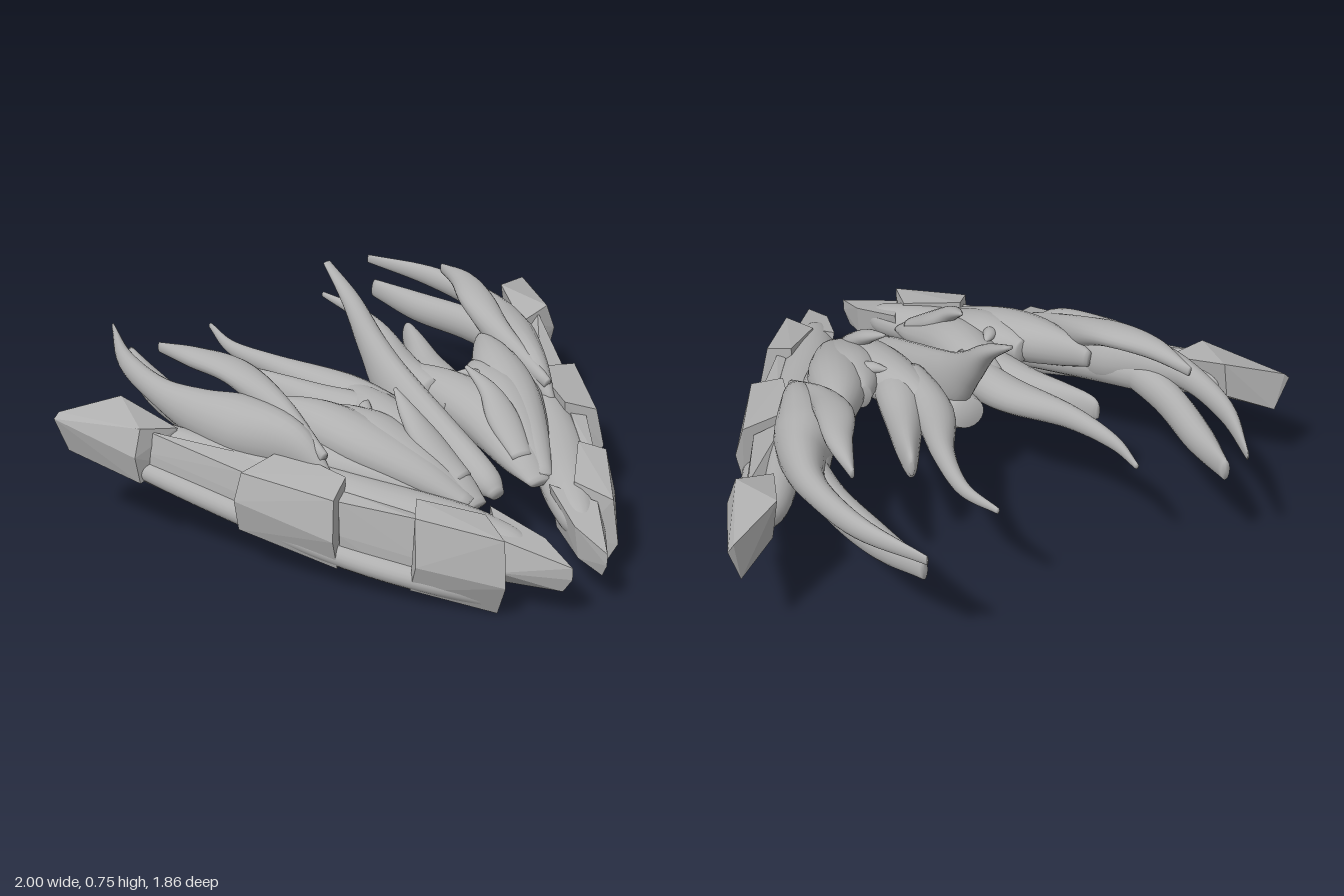
import * as THREE from 'three';
import { ConvexGeometry } from 'three/addons/geometries/ConvexGeometry.js';

const V = (x, y, z) => new THREE.Vector3(x, y, z);

// Smooth oval-section loft through stations [x, y, z, halfWidth, halfHeight], s mirrors in x
function loft(stations, s = 1, radial = 20, steps = 36) {
  const path = new THREE.CatmullRomCurve3(stations.map((p) => V(s * p[0], p[1], p[2])), false, 'catmullrom', 0.5);
  const size = new THREE.CatmullRomCurve3(stations.map((p) => V(p[3], p[4], 0)), false, 'catmullrom', 0.5);
  const pos = [], idx = [];
  const ring = (t, k) => {
    const c = path.getPoint(t), T = path.getTangent(t), r = size.getPoint(t);
    const side = V(0, 1, 0).cross(T).normalize(), up = T.clone().cross(side);
    for (let j = 0; j < radial; j++) {
      const a = (j / radial) * Math.PI * 2;
      const p = c.clone()
        .addScaledVector(side, Math.cos(a) * Math.max(r.x, 0.003) * k)
        .addScaledVector(up, Math.sin(a) * Math.max(r.y, 0.003) * k);
      pos.push(p.x, p.y, p.z);
    }
  };
  ring(0, 0.001);
  for (let i = 0; i <= steps; i++) ring(i / steps, 1);
  ring(1, 0.001);
  for (let i = 0; i < steps + 2; i++) {
    for (let j = 0; j < radial; j++) {
      const a = i * radial + j, b = i * radial + ((j + 1) % radial);
      idx.push(a, b, a + radial, b, b + radial, a + radial);
    }
  }
  const g = new THREE.BufferGeometry();
  g.setAttribute('position', new THREE.Float32BufferAttribute(pos, 3));
  g.setIndex(idx);
  g.computeVertexNormals();
  return g;
}

// Faceted block spanning two five-cornered sections
const block = (a, b, s) => new ConvexGeometry([...a, ...b].map((p) => V(s * p[0], p[1], p[2])));

// Rail sections: keel bottom, outer middle, outer top, inner top, inner bottom
const RAIL = [
  [[0.21, 0.0, 0.75], [0.23, 0.12, 0.81], [0.22, 0.27, 0.79], [0.18, 0.29, 0.65], [0.17, 0.1, 0.68]],
  [[0.4, 0.06, 0.56], [0.41, 0.16, 0.6], [0.39, 0.31, 0.57], [0.33, 0.33, 0.5], [0.33, 0.14, 0.5]],
  [[0.53, 0.09, 0.36], [0.56, 0.2, 0.38], [0.54, 0.33, 0.36], [0.45, 0.36, 0.3], [0.46, 0.17, 0.3]],
  [[0.7, 0.16, 0.07], [0.72, 0.27, 0.08], [0.69, 0.36, 0.08], [0.52, 0.39, 0.07], [0.56, 0.22, 0.07]],
  [[0.86, 0.24, -0.25], [0.88, 0.34, -0.24], [0.85, 0.43, -0.25], [0.72, 0.4, -0.24], [0.75, 0.28, -0.24]],
  [[0.96, 0.28, -0.53], [1, 0.4, -0.54], [0.98, 0.42, -0.54], [0.8, 0.46, -0.45], [0.82, 0.33, -0.45]],
];
const PROW = [
  [[0.08, 0.1, 0.9], [0.07, 0.15, 0.93], [0.07, 0.19, 0.93], [0.06, 0.23, 0.79], [0.07, 0.12, 0.8]],
  [[0.2, 0.1, 0.72], [0.22, 0.15, 0.76], [0.2, 0.25, 0.74], [0.12, 0.28, 0.6], [0.14, 0.13, 0.62]],
];

// Recess of each rail corner between the armour blocks: [inward, down]
const RECESS = [[0.02, 0], [0.05, 0.0], [0.035, 0.02], [-0.02, 0.04], [0, 0]];
const recessed = (sec) => sec.map(([x, y, z], i) =>
  [x - 0.87 * RECESS[i][0], y - RECESS[i][1], z - 0.5 * RECESS[i][0]]);

// Smooth parts of one side
const SIDE = {
  railTube: [[0.12, 0.19, 0.76, 0.04, 0.045], [0.15, 0.205, 0.7, 0.065, 0.06], [0.23, 0.23, 0.56, 0.085, 0.07], [0.36, 0.26, 0.36, 0.09, 0.07],
    [0.49, 0.29, 0.13, 0.075, 0.07], [0.63, 0.32, -0.1, 0.065, 0.06], [0.76, 0.35, -0.33, 0.045, 0.05], [0.86, 0.375, -0.43, 0.025, 0.03]],
  keelTube: [[0.2, 0.05, 0.74, 0.03, 0.04], [0.36, 0.09, 0.56, 0.045, 0.04], [0.51, 0.13, 0.33, 0.045, 0.04],
    [0.67, 0.2, 0.05, 0.04, 0.04], [0.82, 0.27, -0.25, 0.035, 0.035], [0.92, 0.32, -0.47, 0.015, 0.025]],
  innerHull: [[0.13, 0.26, 0.55, 0.04, 0.015], [0.14, 0.3, 0.44, 0.07, 0.05], [0.16, 0.36, 0.25, 0.095, 0.08],
    [0.15, 0.385, 0.08, 0.09, 0.08], [0.13, 0.39, -0.08, 0.06, 0.06], [0.13, 0.39, -0.18, 0.02, 0.03]],
  midHull: [[0.15, 0.28, 0.52, 0.04, 0.02], [0.2, 0.34, 0.36, 0.08, 0.06], [0.25, 0.39, 0.2, 0.1, 0.075], [0.28, 0.41, 0.08, 0.07, 0.06], [0.3, 0.41, 0.0, 0.03, 0.04]],
  outerHull: [[0.15, 0.27, 0.54, 0.03, 0.02], [0.22, 0.33, 0.38, 0.07, 0.06], [0.3, 0.385, 0.2, 0.095, 0.08],
    [0.36, 0.415, 0.05, 0.085, 0.08], [0.42, 0.425, -0.08, 0.045, 0.06], [0.46, 0.42, -0.16, 0.015, 0.03]],
  lowerHull: [[0.16, 0.27, 0.52, 0.03, 0.02], [0.27, 0.315, 0.3, 0.085, 0.055], [0.41, 0.35, 0.08, 0.09, 0.065],
    [0.53, 0.37, -0.1, 0.08, 0.075], [0.61, 0.38, -0.28, 0.05, 0.06]],
  raisedHorn: [[0.12, 0.32, 0.47, 0.035, 0.02], [0.15, 0.395, 0.34, 0.055, 0.035], [0.16, 0.465, 0.25, 0.035, 0.025], [0.145, 0.52, 0.15, 0.006, 0.006]],
  smallClaw: [[0.25, 0.42, 0.14, 0.03, 0.03], [0.22, 0.45, 0.09, 0.022, 0.02], [0.18, 0.45, 0.05, 0.005, 0.005]],
  shortHorn: [[0.12, 0.37, 0.16, 0.07, 0.06], [0.17, 0.38, 0.0, 0.075, 0.07], [0.225, 0.38, -0.15, 0.06, 0.065],
    [0.285, 0.39, -0.29, 0.04, 0.06], [0.325, 0.4, -0.39, 0.022, 0.05], [0.337, 0.4, -0.42, 0.008, 0.025]],
  crescentHorn: [[0.1, 0.38, 0.05, 0.06, 0.07], [0.115, 0.39, -0.1, 0.065, 0.065], [0.145, 0.4, -0.22, 0.062, 0.055], [0.225, 0.42, -0.42, 0.035, 0.04],
    [0.265, 0.43, -0.62, 0.02, 0.025], [0.242, 0.45, -0.79, 0.007, 0.01]],
  outerPod: [[0.46, 0.33, 0.22, 0.015, 0.02], [0.49, 0.39, 0.08, 0.06, 0.085], [0.55, 0.4, -0.1, 0.1, 0.11],
    [0.625, 0.42, -0.25, 0.07, 0.085], [0.668, 0.445, -0.43, 0.042, 0.05], [0.645, 0.46, -0.68, 0.028, 0.038], [0.55, 0.475, -0.93, 0.005, 0.016]],
  lowerHorn: [[0.59, 0.38, -0.12, 0.06, 0.06], [0.605, 0.37, -0.4, 0.05, 0.06], [0.57, 0.365, -0.65, 0.045, 0.055], [0.525, 0.385, -0.86, 0.015, 0.035]],
  upperHook: [[0.46, 0.39, 0.2, 0.015, 0.02], [0.465, 0.47, -0.04, 0.042, 0.05], [0.5, 0.54, -0.22, 0.06, 0.038],
    [0.56, 0.555, -0.38, 0.042, 0.033], [0.595, 0.545, -0.54, 0.008, 0.018]],
};

export function createModel() {
  const model = new THREE.Group();
  model.name = 'hornedSkiff';
  const hull = new THREE.MeshStandardMaterial({ color: 0xb0b0b0 });
  hull.name = 'hullGrey';
  const add = (parent, name, geometry) => {
    const m = new THREE.Mesh(geometry, hull);
    m.name = name;
    parent.add(m);
    return m;
  };

  // Central spine rising to a tall swept horn
  add(model, 'spine', loft([[0, 0.235, 0.495, 0.025, 0.02], [0, 0.265, 0.42, 0.052, 0.055], [0, 0.32, 0.2, 0.06, 0.09],
    [0, 0.4, -0.02, 0.058, 0.1], [0, 0.52, -0.16, 0.045, 0.06], [0, 0.645, -0.28, 0.033, 0.03], [0, 0.742, -0.42, 0.014, 0.008]]));

  // Underbody with clamp bands
  add(model, 'underbody', loft([[0, 0.24, 0.36, 0.03, 0.04], [0, 0.27, 0.2, 0.075, 0.075], [0, 0.3, 0, 0.1, 0.08], [0, 0.35, -0.16, 0.06, 0.05]]));
  for (const [y, z] of [[0.27, 0.17], [0.3, 0.03]]) {
    const clamp = add(model, 'clampBand', new THREE.BoxGeometry(0.26, 0.14, 0.06));
    clamp.position.set(0, y, z);
    clamp.rotation.x = 0.25;
  }

  for (const [s, label] of [[1, 'left'], [-1, 'right']]) {
    const half = new THREE.Group();
    half.name = label + 'Side';
    model.add(half);
    for (const [name, stations] of Object.entries(SIDE)) add(half, name, loft(stations, s));

    // Outer rail: prow, then armour blocks alternating with recessed beams
    add(half, 'railProw', block(PROW[0], PROW[1], s));
    for (let i = 0; i < RAIL.length - 1; i++) {
      if (i % 2 === 0) add(half, 'armourBlock', block(RAIL[i], RAIL[i + 1], s));
      else add(half, 'railBeam', block(recessed(RAIL[i]), recessed(RAIL[i + 1]), s));
    }
  }
  return model;
}
